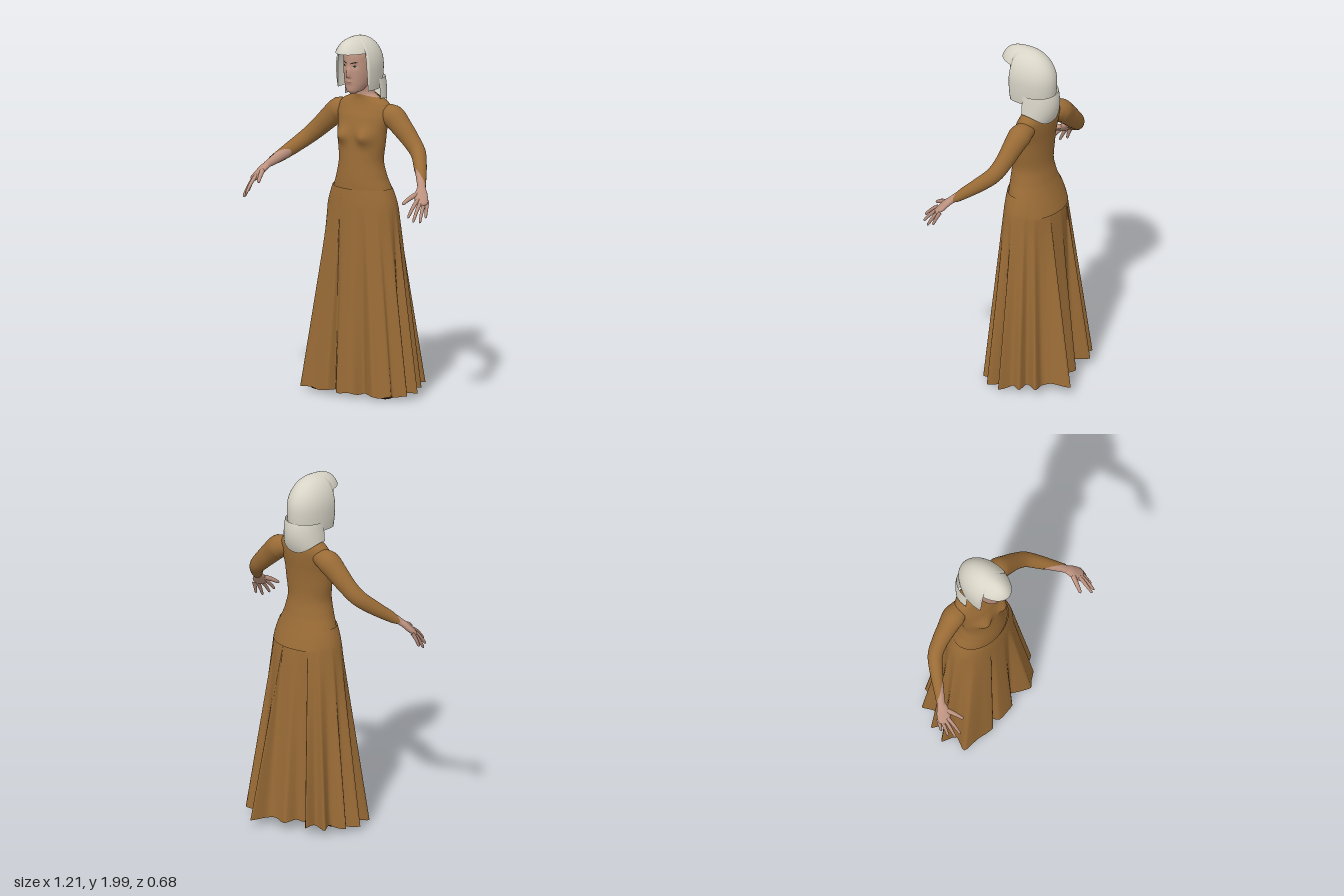
import * as THREE from 'three';
import { mergeVertices } from 'three/addons/utils/BufferGeometryUtils.js';

const { sin, cos, sqrt, exp, PI, abs, max, min } = Math;
const V = (x, y, z) => new THREE.Vector3(x, y, z);
const smooth = THREE.MathUtils.smoothstep;
const mix = THREE.MathUtils.lerp;

// Surface from fn(u, v) -> [x, y, z]; u runs around, v runs along
function surface(fn, nu, nv) {
  const pos = [], idx = [];
  for (let j = 0; j <= nv; j++)
    for (let i = 0; i <= nu; i++) pos.push(...fn(i / nu, j / nv));
  for (let j = 0; j < nv; j++)
    for (let i = 0; i < nu; i++) {
      const a = j * (nu + 1) + i, c = a + nu + 1;
      idx.push(a, a + 1, c, a + 1, c + 1, c);
    }
  const g = new THREE.BufferGeometry();
  g.setAttribute('position', new THREE.Float32BufferAttribute(pos, 3));
  g.setIndex(idx);
  const m = mergeVertices(g, 1e-5);
  m.computeVertexNormals();
  return m;
}

// Copy of an indexed geometry reflected to the other side
function mirrored(geo) {
  const g = geo.clone().scale(-1, 1, 1), ix = g.index.array;
  for (let i = 0; i < ix.length; i += 3) [ix[i], ix[i + 1]] = [ix[i + 1], ix[i]];
  g.computeVertexNormals();
  return g;
}

// Smooth lookup in rows of [y, halfWidth, zFront, zBack]
function profile(rows, y) {
  let i = 0;
  while (i < rows.length - 2 && y > rows[i + 1][0]) i++;
  const p = k => rows[max(0, min(rows.length - 1, k))];
  const t = min(1, max(0, (y - p(i)[0]) / (p(i + 1)[0] - p(i)[0])));
  return [1, 2, 3].map(c => {
    const a = p(i - 1)[c], b = p(i)[c], d = p(i + 1)[c], e = p(i + 2)[c];
    const m0 = (d - a) / 2, m1 = (e - b) / 2;
    return b + t * (m0 + t * (3 * (d - b) - 2 * m0 - m1 + t * (2 * (b - d) + m0 + m1)));
  });
}

// Sweep along [x, y, z, halfWidth, halfThickness] points; end(a) trims the far rim
function sweep(points, nu, nv, end = () => 1, start = 0, grow = 0) {
  const path = new THREE.CatmullRomCurve3(points.map(p => V(p[0], p[1], p[2])));
  return surface((u, v) => {
    const a = u * 2 * PI, t = start + (end(a) - start) * v, s = t * (points.length - 1);
    const i = min(points.length - 2, Math.floor(s)), f = s - i;
    const c = path.getPoint(t), T = path.getTangent(t);
    const N = T.clone().cross(V(0, 1, 0)).normalize(), B = T.clone().cross(N);
    return c.addScaledVector(N, cos(a) * (mix(points[i][3], points[i + 1][3], f) + grow))
      .addScaledVector(B, sin(a) * (mix(points[i][4], points[i + 1][4], f) + grow)).toArray();
  }, nu, nv);
}

const HEAD = [[1.685, 0.012, 0.108, 0.075], [1.70, 0.042, 0.127, 0.02], [1.74, 0.063, 0.131, -0.03],
  [1.80, 0.077, 0.133, -0.07], [1.86, 0.081, 0.131, -0.08], [1.92, 0.078, 0.122, -0.075], [1.965, 0.03, 0.08, 0]];
const TORSO = [[1.03, 0.2, 0.115, -0.163], [1.10, 0.19, 0.118, -0.142], [1.155, 0.174, 0.12, -0.122], [1.21, 0.153, 0.119, -0.104],
  [1.30, 0.134, 0.112, -0.086], [1.40, 0.145, 0.103, -0.086], [1.48, 0.152, 0.096, -0.092], [1.55, 0.165, 0.076, -0.1],
  [1.60, 0.166, 0.052, -0.102], [1.63, 0.142, 0.04, -0.098], [1.65, 0.1, 0.036, -0.09], [1.672, 0.062, 0.037, -0.08]];
const NECK = [[1.60, 0.12, 0.025, -0.08], [1.645, 0.1, 0.028, -0.08], [1.668, 0.06, 0.032, -0.072],
  [1.69, 0.051, 0.034, -0.07], [1.75, 0.05, 0.04, -0.07]];
const ARM = [[0.10, 1.575, -0.035, 0.045, 0.045], [0.18, 1.555, -0.035, 0.064, 0.066], [0.24, 1.505, -0.03, 0.054, 0.06],
  [0.31, 1.44, -0.022, 0.045, 0.052], [0.37, 1.385, -0.002, 0.042, 0.046], [0.43, 1.325, 0.06, 0.036, 0.04],
  [0.49, 1.265, 0.135, 0.028, 0.03], [0.525, 1.232, 0.178, 0.024, 0.021]];
const PALM = [[0.515, 1.24, 0.165, 0.02, 0.018], [0.532, 1.218, 0.192, 0.032, 0.019], [0.55, 1.188, 0.216, 0.038, 0.018],
  [0.566, 1.162, 0.24, 0.033, 0.013], [0.571, 1.153, 0.248, 0.002, 0.002]];
const FINGERS = [[0.545, 1.178, 0.248, 0.545, 1.098, 0.336], [0.56, 1.168, 0.24, 0.572, 1.075, 0.325],
  [0.573, 1.163, 0.224, 0.59, 1.066, 0.287], [0.582, 1.168, 0.205, 0.598, 1.088, 0.242], [0.525, 1.21, 0.205, 0.485, 1.162, 0.305]];
// Hem outline [x, z] from the front centre round by the left side
const HEM = [[0, 0.185], [0.06, 0.18], [0.1, 0.13], [0.14, 0.155], [0.2, 0.19], [0.235, 0.165], [0.285, 0.135], [0.275, 0.1],
  [0.345, 0.065], [0.3, 0.03], [0.265, 0.01], [0.355, -0.02], [0.285, -0.06], [0.305, -0.125], [0.235, -0.125], [0.27, -0.21],
  [0.2, -0.2], [0.165, -0.24], [0.12, -0.34], [0.08, -0.245], [0.02, -0.235], [-0.05, -0.245], [-0.075, -0.18], [-0.125, -0.16],
  [-0.19, -0.235], [-0.2, -0.16], [-0.28, -0.18], [-0.25, -0.1], [-0.335, -0.065], [-0.28, -0.02], [-0.355, 0.03],
  [-0.28, 0.07], [-0.31, 0.155], [-0.2, 0.17], [-0.11, 0.19], [-0.08, 0.145], [-0.05, 0.18]];

// Rounded cross-section of a profile at angle a (0 = front)
function ring(rows, y, a, bump = () => 0) {
  const [rx, zf, zb] = profile(rows, y), x = rx * sin(a), c = cos(a);
  return [x, y, (zf + zb) / 2 + (zf - zb) / 2 * c + (c > 0 ? bump(x, y) : 0)];
}
// Nose, eye sockets and lips
const faceBump = (x, y) =>
  0.024 * exp(-((x / 0.011) ** 2)) * smooth(1.852 - y, 0, 0.058) * smooth(y, 1.773, 1.79)
  - 0.006 * exp(-(((abs(x) - 0.032) / 0.017) ** 2) - ((y - 1.842) / 0.014) ** 2)
  + 0.004 * exp(-((x / 0.022) ** 2) - ((y - 1.752) / 0.011) ** 2);
const bust = (x, y) => 0.034 * exp(-(((abs(x) - 0.075) / 0.042) ** 2) - ((y - 1.445) / 0.042) ** 2);

export function createModel() {
  const model = new THREE.Group();
  const mat = (name, color, side = THREE.FrontSide) => {
    const m = new THREE.MeshStandardMaterial({ color, side });
    m.name = name;
    return m;
  };
  const skin = mat('skin', 0xbd927f), cloth = mat('brown cloth', 0x996b36, THREE.DoubleSide);
  const hair = mat('pale hair', 0xd8d4c7, THREE.DoubleSide), leather = mat('dark leather', 0x453020);
  const dark = mat('brow and iris', 0x2b201b, THREE.DoubleSide), white = mat('eye white', 0xcfc6bd, THREE.DoubleSide);
  const lip = mat('lips', 0x9c6c60, THREE.DoubleSide);
  const add = (name, geo, material) => {
    const m = new THREE.Mesh(geo, material);
    m.name = name;
    model.add(m);
  };
  const pair = (name, geo, material) => {
    add(name + 'Left', geo, material);
    add(name + 'Right', mirrored(geo), material);
  };

  // Head and neck
  add('head', surface((u, v) => ring(HEAD, mix(1.685, 1.965, v), (u * 2 - 1) * PI, faceBump), 96, 60), skin);
  add('neck', surface((u, v) => ring(NECK, mix(1.60, 1.75, v), u * 2 * PI), 32, 14), skin);
  pair('ear', new THREE.SphereGeometry(1, 12, 10).scale(0.012, 0.03, 0.018).translate(0.084, 1.815, 0.03), skin);

  // Face plates following the surface of the head
  const plate = (name, pts, material, lift) => {
    for (const s of [1, -1]) {
      const g = new THREE.ShapeGeometry(new THREE.Shape(pts.map(p => new THREE.Vector2(p[0] * s, p[1]))));
      const p = g.attributes.position;
      for (let i = 0; i < p.count; i++) {
        const x = p.getX(i), y = p.getY(i), [rx, zf, zb] = profile(HEAD, y);
        p.setZ(i, (zf + zb) / 2 + (zf - zb) / 2 * sqrt(1 - (x / rx) ** 2) + faceBump(x, y) + lift);
      }
      g.computeVertexNormals();
      add(name + (s > 0 ? 'Left' : 'Right'), g, material);
    }
  };
  plate('eye', [[0.02, 1.839], [0.033, 1.835], [0.047, 1.842], [0.034, 1.848]], white, 0.003);
  plate('iris', [[0.028, 1.837], [0.037, 1.837], [0.038, 1.847], [0.028, 1.846]], dark, 0.0045);
  plate('eyelid', [[0.018, 1.84], [0.033, 1.846], [0.049, 1.843], [0.034, 1.851]], dark, 0.005);
  plate('eyebrow', [[0.013, 1.855], [0.034, 1.862], [0.056, 1.863], [0.037, 1.869], [0.013, 1.862]], dark, 0.004);
  plate('mouth', [[0, 1.747], [0.012, 1.748], [0.024, 1.753], [0.011, 1.757], [0, 1.756]], lip, 0.002);

  // Hair cap: peaked over the brow, open at the face
  add('hairCap', surface((u, v) => {
    const a = (u * 2 - 1) * PI, low = abs(a) < 1.22 ? 1.92 : 1.708;
    const y = low + (2 - low) * sin(v * PI / 2), h = (y - 1.83) / 0.17;
    const k = h > 0 ? sqrt(max(0, 1 - h * h)) : 1 - 0.16 * h * h;
    const kf = h > 0 ? max(0, 1 - h ** 3) ** (1 / 3) : k;
    return [0.117 * k * sin(a), y, 0.042 + 0.174 * cos(a) * (cos(a) > 0 ? kf : k)];
  }, 120, 28), hair);
  add('hairBack', surface((u, v) => {
    const a = PI + (u * 2 - 1) * 1.75, y = mix(1.59 + 0.065 * sin(a) ** 2, 1.765, v), d = (1.765 - y) / 0.175;
    return [(0.112 + 0.017 * d) * sin(a), y, -0.02 + (0.114 + 0.05 * d - 0.07 * d * d) * cos(a)];
  }, 40, 12), hair);

  // Bodice, lower at the back, with a shallow neckline
  add('bodice', surface((u, v) => {
    const a = (u * 2 - 1) * PI, low = mix(1.12, 1.04, smooth(-cos(a), -0.1, 0.6));
    return ring(TORSO, mix(low, 1.672 - 0.018 * sin(a) ** 2, v), a, bust);
  }, 80, 60), cloth);

  // Pleated skirt: oval waist and hip opening out into the folded hem
  const hem = new THREE.CatmullRomCurve3(HEM.map(p => V(p[0], 0, p[1])), true, 'catmullrom', 0.35);
  add('skirt', surface((u, v) => {
    const p = hem.getPoint(u % 1), a = Math.atan2(p.x / 0.36, p.z / (p.z > 0 ? 0.19 : 0.27)), back = cos(a) < 0;
    const hip = [0.216 * sin(a), (back ? 0.152 : 0.136) * cos(a)];
    const hemY = 0.026 + 0.028 * smooth(-cos(a), -0.2, 0.9) + 0.005 * sin(a * 17);
    if (v > 0.75) {
      const t = (v - 0.75) * 4, s = t * t * 0.4 + t * 0.6;
      return [mix(hip[0], 0.181 * sin(a), s), mix(1.04, 1.156, t), mix(hip[1], (back ? 0.115 : 0.127) * cos(a), s)];
    }
    const t = v / 0.75;
    return [mix(p.x, hip[0], t), mix(hemY, 1.04, t), mix(p.z, hip[1], t)];
  }, 148, 16), cloth);

  // Arms: sleeves cut longer on the outside, bare forearms and hands
  pair('sleeve', sweep(ARM, 28, 36, a => 0.85 - 0.11 * cos(a)), cloth);
  pair('forearm', sweep(ARM, 24, 14, () => 1, 0.6, -0.003), skin);
  pair('palm', sweep(PALM, 20, 14), skin);
  FINGERS.forEach(([x, y, z, X, Y, Z], i) => {
    const at = (t, r, lift = 0) => [mix(x, X, t), mix(y, Y, t) + lift, mix(z, Z, t), r, r];
    const w = i === 4 ? 0.0135 : 0.0105;
    pair(i === 4 ? 'thumb' : 'finger' + (i + 1),
      sweep([at(-0.1, w), at(0.3, w, 0.006), at(0.65, w * 0.85, 0.005), at(0.93, w * 0.65), at(1, 0.0008)], 10, 14), skin);
  });

  // Shoes and stockings
  const shoe = new THREE.SphereGeometry(1, 24, 16), sp = shoe.attributes.position;
  for (let i = 0; i < sp.count; i++) {
    const z = sp.getZ(i), y = sp.getY(i);
    sp.setXYZ(i, sp.getX(i) * (0.034 + 0.007 * z), max(0.006, 0.032 + y * (y > 0 ? 0.036 - 0.012 * z : 0.03)), z * 0.115);
  }
  shoe.rotateY(0.12).translate(0.218, 0, 0.045);
  shoe.computeVertexNormals();
  pair('shoe', shoe, leather);
  pair('stocking', new THREE.CylinderGeometry(0.045, 0.028, 0.36, 16).rotateZ(0.12).translate(0.19, 0.22, -0.02), leather);

  return model;
}
